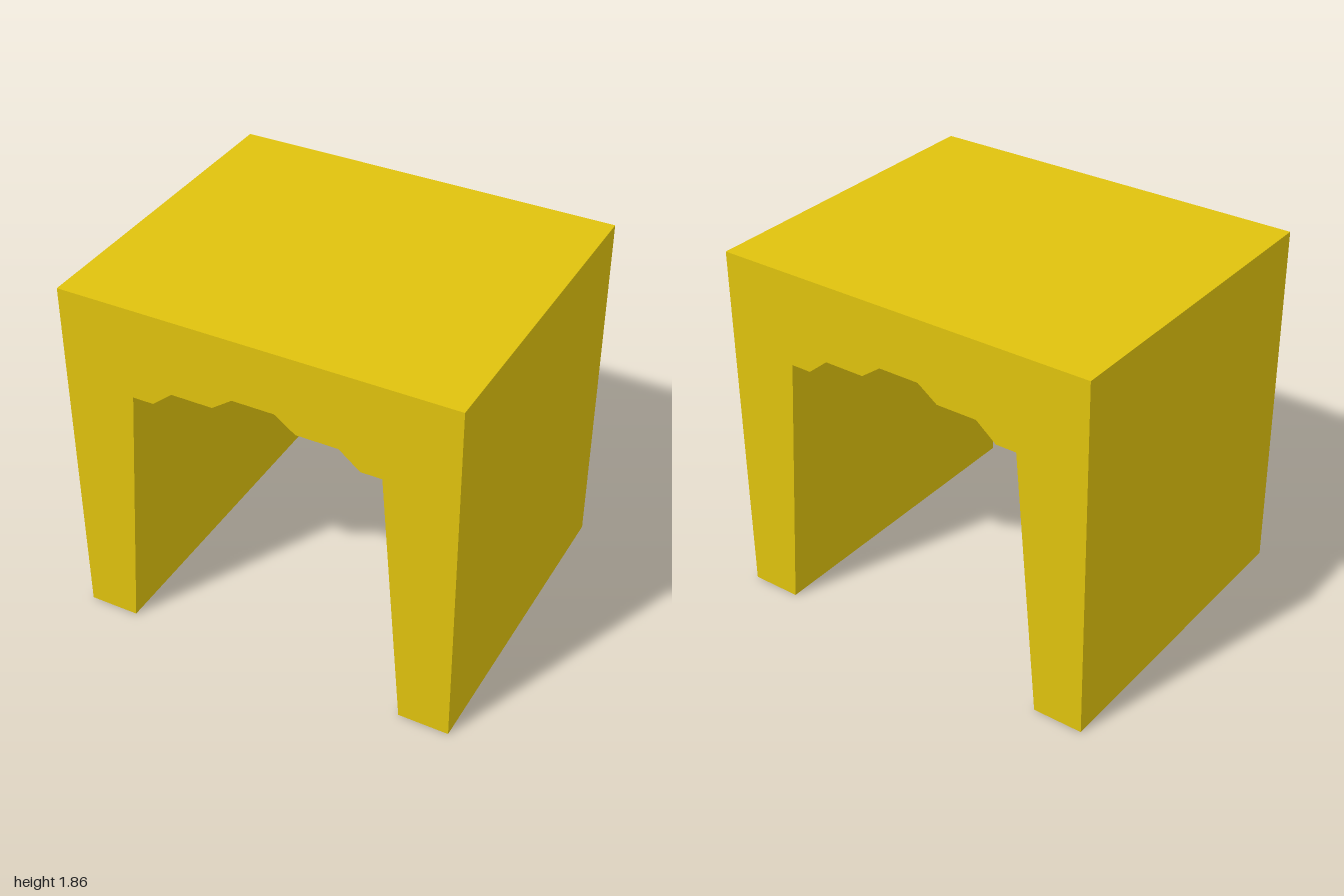
import * as THREE from 'three';

export function createModel() {
  const group = new THREE.Group();
  group.name = 'tunnelBlock';
  const depth = 1.694;

  // Right half of the opening, from the foot up to the crown
  const half = [
    [0.74, 0], [0.635, 1.383], [0.528, 1.383], [0.423, 1.469],
    [0.211, 1.469], [0.107, 1.544],
  ];
  const mirrored = half.map(([x, y]) => [-x, y]).reverse();

  // Arch outline: square outside, stepped vault inside
  const outline = [[-1, 0], [-1, 1.86], [1, 1.86], [1, 0], ...half, ...mirrored];
  const shape = new THREE.Shape(outline.map(([x, y]) => new THREE.Vector2(x, y)));

  const geometry = new THREE.ExtrudeGeometry(shape, { depth, bevelEnabled: false });
  geometry.translate(0, 0, -depth / 2);

  const arch = new THREE.Mesh(
    geometry,
    new THREE.MeshStandardMaterial({ color: 0xdfc20d, flatShading: true })
  );
  arch.name = 'tunnelArch';
  group.add(arch);
  return group;
}
